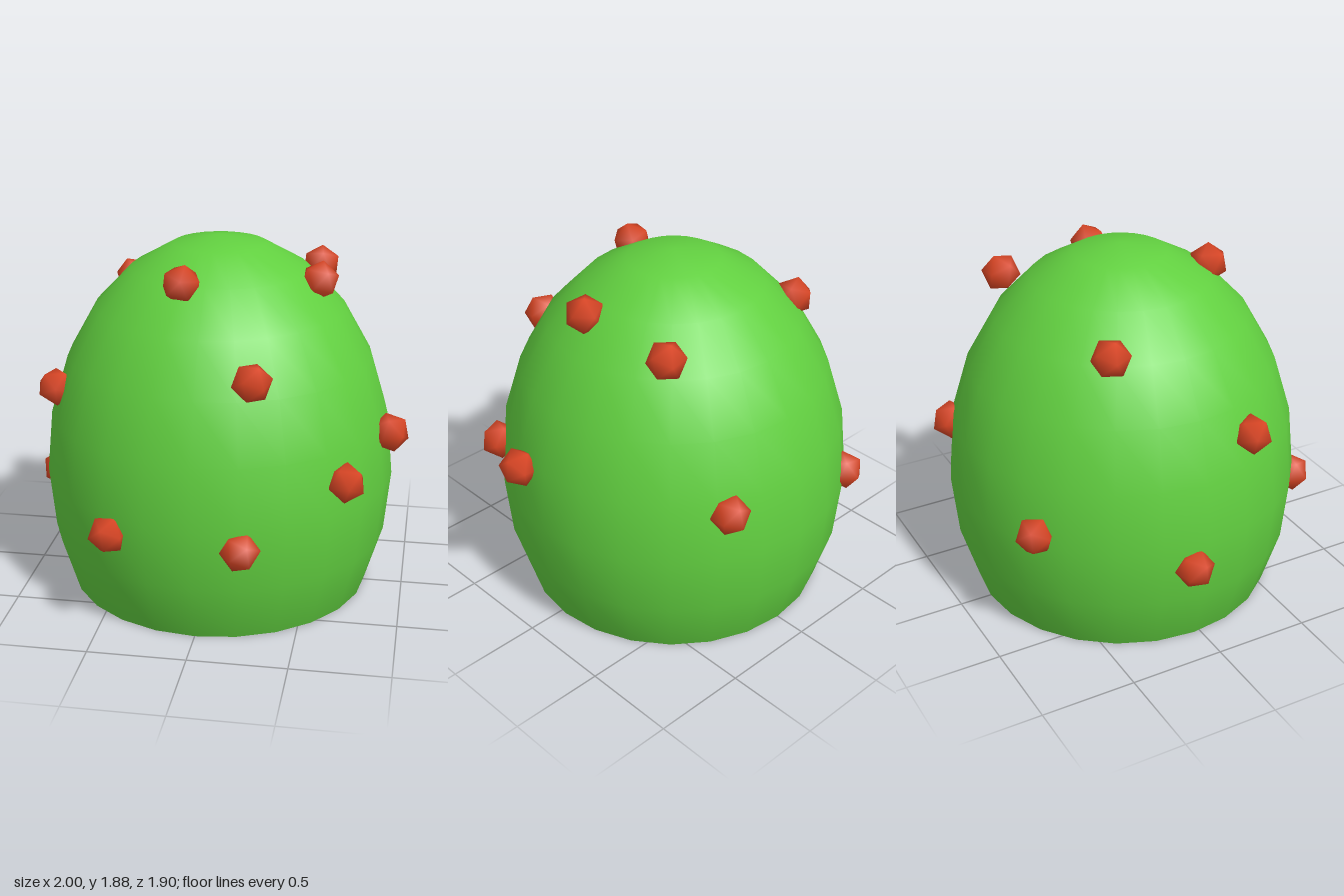
import * as THREE from 'three';
import { mergeVertices } from 'three/addons/utils/BufferGeometryUtils.js';

const DOME = { radius: 0.92, height: 1.254, y: 0.627, z: -0.033 };

// Centres of the nubs on the dome surface
const NUBS = [
  [-0.12, 1.73, 0.41], [0.27, 1.34, 0.69], [0.52, 1.68, 0.05], [0.48, 1.63, -0.48],
  [-0.81, 1.11, 0.26], [0.91, 0.92, 0.14], [0.72, 0.80, 0.55], [-0.43, 0.54, 0.78],
  [0.24, 0.53, 0.85], [-0.91, 0.50, -0.11], [0.40, 0.89, -0.84], [-0.53, 1.55, -0.37],
  [-0.52, 0.68, -0.79],
];

// Smooth-shaded icosahedron with one face turned toward +z
function nubGeometry(radius) {
  const raw = new THREE.IcosahedronGeometry(radius, 0);
  raw.deleteAttribute('normal');
  raw.deleteAttribute('uv');
  const geo = mergeVertices(raw, 1e-4);
  geo.computeVertexNormals();
  const faceAxis = new THREE.Vector3(1, 1, 1).normalize();
  geo.applyQuaternion(new THREE.Quaternion().setFromUnitVectors(faceAxis, new THREE.Vector3(0, 0, 1)));
  return geo;
}

export function createModel() {
  const model = new THREE.Group();
  model.name = 'spottedDome';

  // Open-bottomed shell: a stretched sphere cut below its widest ring
  const shell = new THREE.SphereGeometry(DOME.radius, 24, 8, 0, Math.PI * 2, 0, Math.PI * 2 / 3);
  shell.scale(1, DOME.height / DOME.radius, 1);
  const dome = new THREE.Mesh(shell, new THREE.MeshStandardMaterial({ color: 0x62d040, side: THREE.DoubleSide }));
  dome.name = 'dome';
  dome.position.set(0, DOME.y, DOME.z);
  model.add(dome);

  // Red nubs scattered over the shell, each facing outward
  const nubs = new THREE.Group();
  nubs.name = 'nubs';
  const geo = nubGeometry(0.102);
  const red = new THREE.MeshStandardMaterial({ color: 0xd84524 });
  NUBS.forEach(([x, y, z], i) => {
    const nub = new THREE.Mesh(geo, red);
    nub.name = `nub${i + 1}`;
    nub.position.set(x, y, z);
    const outward = new THREE.Vector3(
      x / DOME.radius ** 2, (y - DOME.y) / DOME.height ** 2, (z - DOME.z) / DOME.radius ** 2);
    nub.lookAt(nub.position.clone().add(outward));
    nubs.add(nub);
  });
  model.add(nubs);

  return model;
}
